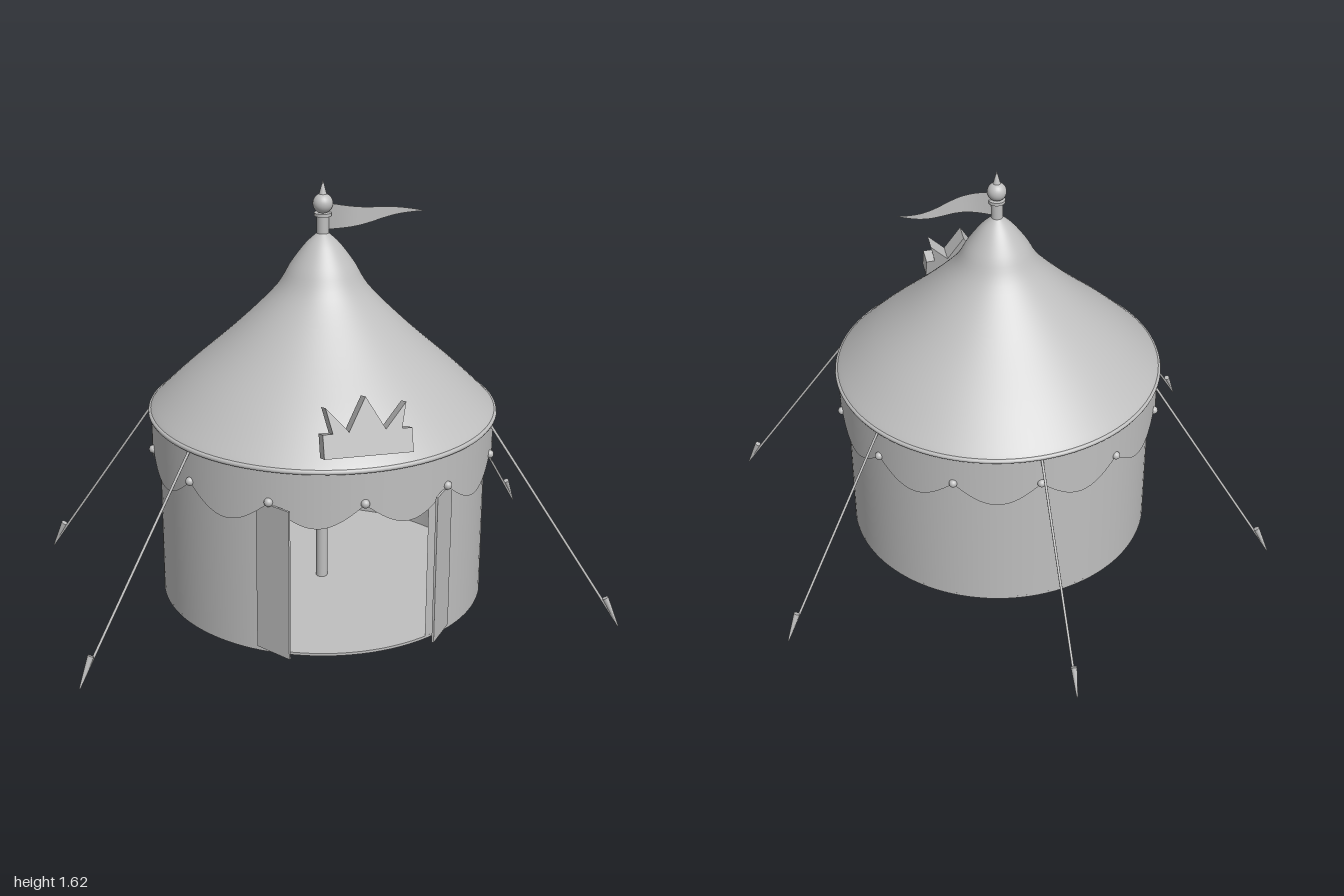
import * as THREE from 'three';

export function createModel() {
  const model = new THREE.Group();
  const tent = new THREE.Group();
  tent.name = 'tent';
  tent.position.z = 0.23;
  model.add(tent);

  const canvas = new THREE.MeshStandardMaterial({ color: 0xbfbfbf, side: THREE.DoubleSide });
  canvas.name = 'grey canvas';

  const add = (name, geometry, x = 0, y = 0, z = 0) => {
    const mesh = new THREE.Mesh(geometry, canvas);
    mesh.name = name;
    mesh.position.set(x, y, z);
    tent.add(mesh);
    return mesh;
  };
  // Tapered rod between two points
  const rod = (name, a, b, rA, rB, sides = 10) => {
    const dir = b.clone().sub(a);
    const mesh = add(name, new THREE.CylinderGeometry(rB, rA, dir.length(), sides));
    mesh.position.copy(a).addScaledVector(dir, 0.5);
    mesh.quaternion.setFromUnitVectors(new THREE.Vector3(0, 1, 0), dir.normalize());
    return mesh;
  };
  const polar = (angle, r, y) => new THREE.Vector3(Math.sin(angle) * r, y, Math.cos(angle) * r);

  // Round wall with a doorway at the front, closed above the door
  const R = 0.613, door = 0.425;
  add('wall', new THREE.CylinderGeometry(R, R, 0.59, 96, 1, true, door, Math.PI * 2 - door * 2), 0, 0.325, 0);
  add('wallHeader', new THREE.CylinderGeometry(R, R, 0.13, 96, 1, true), 0, 0.685, 0);
  add('floor', new THREE.CylinderGeometry(R, R, 0.01, 96), 0, 0.035, 0);

  // Door flaps swung outward
  for (const s of [1, -1]) {
    const flap = add(s > 0 ? 'leftDoorFlap' : 'rightDoorFlap',
      new THREE.BoxGeometry(0.15, 0.57, 0.008), s * 0.307, 0.333, 0.563);
    flap.rotation.y = s * 0.922;
  }

  // Sweeping roof
  const roofCurve = new THREE.SplineCurve([
    [0.645, 0.758], [0.62, 0.785], [0.508, 0.893], [0.33, 1.053], [0.18, 1.205],
    [0.118, 1.305], [0.064, 1.378], [0.02, 1.42],
  ].map(([x, y]) => new THREE.Vector2(x, y)));
  add('roof', new THREE.LatheGeometry(roofCurve.getPoints(36), 96));
  const rim = add('roofRim', new THREE.TorusGeometry(0.643, 0.009, 8, 96), 0, 0.753, 0);
  rim.rotation.x = Math.PI / 2;

  // Scalloped valance, with a bead at each cusp
  const valance = new THREE.CylinderGeometry(0.641, 0.641, 0.2, 192, 1, true);
  const p = valance.attributes.position;
  for (let i = 0; i < p.count; i++) {
    const angle = Math.atan2(p.getX(i), p.getZ(i));
    p.setY(i, p.getY(i) > 0 ? 0.75 : 0.625 - 0.085 * Math.abs(Math.sin(angle * 6)));
  }
  add('valance', valance);
  for (let i = 0; i < 12; i++) {
    const c = polar(i * Math.PI / 6, 0.642, 0.63);
    add('valanceBead', new THREE.SphereGeometry(0.016, 16, 12), c.x, c.y, c.z);
  }

  // Centre pole and finial
  add('centrePole', new THREE.CylinderGeometry(0.022, 0.022, 1.47, 24), 0, 0.753, 0);
  add('finialCollar', new THREE.CylinderGeometry(0.032, 0.032, 0.012, 24), 0, 1.488, 0);
  add('finialBall', new THREE.SphereGeometry(0.037, 24, 16), 0, 1.528, 0);
  add('finialSpike', new THREE.ConeGeometry(0.016, 0.06, 16), 0, 1.586, 0);

  // Waving pennant tapering to a point
  const flag = new THREE.PlaneGeometry(1, 1, 24, 2);
  const f = flag.attributes.position;
  for (let i = 0; i < f.count; i++) {
    const t = f.getX(i) + 0.5;
    f.setXYZ(i, 0.02 + 0.367 * t,
      1.479 + f.getY(i) * 0.098 * (1 - t),
      0.025 * Math.sin(t * Math.PI * 2));
  }
  flag.computeVertexNormals();
  add('pennant', flag);

  // Crown ornament leaning back over the doorway
  const half = [[0.155, 0], [0.155, 0.083], [0.12, 0.083], [0.14, 0.172], [0.064, 0.085]];
  const outline = [...half, [0, 0.2], ...half.map(([x, y]) => [-x, y]).reverse()];
  const crown = add('crownOrnament', new THREE.ExtrudeGeometry(
    new THREE.Shape(outline.map(([x, y]) => new THREE.Vector2(x, y))),
    { depth: 0.065, bevelEnabled: false }), 0, 0.807, 0.624);
  crown.rotation.x = -0.3;

  // Guy ropes and stakes on every side but the doorway
  for (let i = 1; i < 6; i++) {
    const a = i * Math.PI / 3;
    rod('guyRope', polar(a, 1.14, 0.02), polar(a, 0.642, 0.745), 0.005, 0.005, 8);
    rod('stake', polar(a, 1.15, 0), polar(a, 1.098, 0.108), 0.003, 0.012);
  }
  return model;
}
